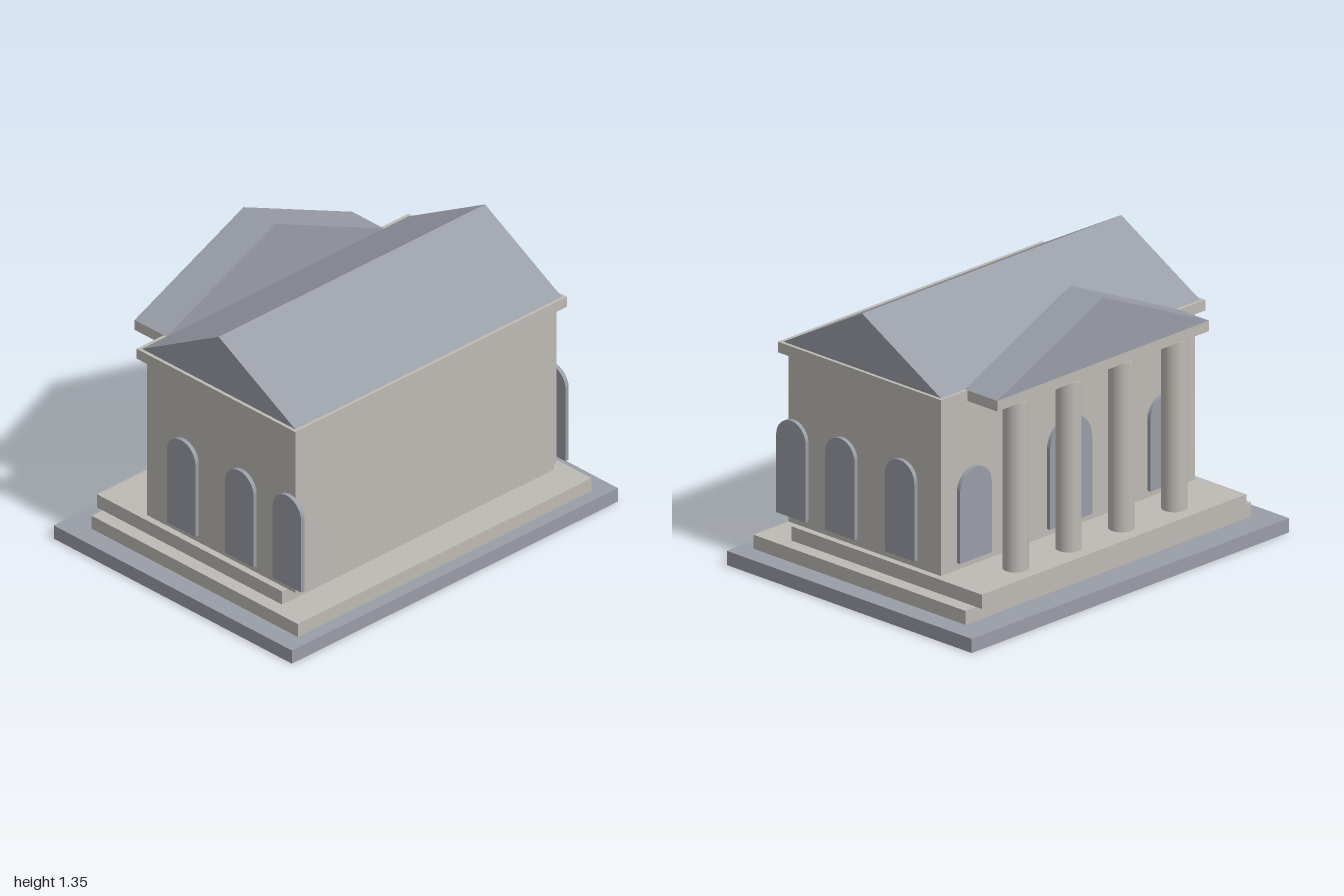
import * as THREE from 'three';

export function createModel() {
  const model = new THREE.Group();
  const stone = new THREE.MeshStandardMaterial({ name: 'stone', color: 0xbdbab4 });
  const slate = new THREE.MeshStandardMaterial({ name: 'slate', color: 0x999da6 });

  const add = (name, geometry, material, parent = model) => {
    const mesh = new THREE.Mesh(geometry, material);
    mesh.name = name;
    parent.add(mesh);
    return mesh;
  };

  // Box centred on x, given its half width and its y and z ranges
  const slab = (name, halfX, y0, y1, z0, z1, material) => {
    const mesh = add(name, new THREE.BoxGeometry(halfX * 2, y1 - y0, z1 - z0), material);
    mesh.position.set(0, (y0 + y1) / 2, (z0 + z1) / 2);
  };

  // Triangular prism centred on its length, which runs along z
  const gable = (name, halfWidth, height, length) => {
    const shape = new THREE.Shape();
    shape.moveTo(-halfWidth, 0);
    shape.lineTo(halfWidth, 0);
    shape.lineTo(0, height);
    shape.closePath();
    const geometry = new THREE.ExtrudeGeometry(shape, { depth: length, bevelEnabled: false });
    geometry.translate(0, 0, -length / 2);
    return add(name, geometry, slate);
  };

  // Round-headed panel, sill at y = 0, projecting towards +z
  const arch = (name, radius, height, x, z, turn) => {
    const shape = new THREE.Shape();
    shape.moveTo(-radius, 0);
    shape.lineTo(radius, 0);
    shape.lineTo(radius, height - radius);
    shape.absarc(0, height - radius, radius, 0, Math.PI, false);
    shape.closePath();
    const geometry = new THREE.ExtrudeGeometry(shape, { depth: 0.02, bevelEnabled: false, curveSegments: 24 });
    const mesh = add(name, geometry, slate);
    mesh.position.set(x, 0.234, z);
    mesh.rotation.y = turn;
  };

  // Base and steps
  slab('base', 1, 0, 0.067, -0.75, 0.75, slate);
  slab('lowerStep', 0.9, 0.067, 0.133, -0.615, 0.685, stone);
  slab('upperStep', 0.833, 0.133, 0.2, -0.65, 0.517, stone);

  // Hall and its roof
  slab('walls', 0.8, 0.2, 1, -0.367, 0.567, stone);
  slab('cornice', 0.833, 1, 1.05, -0.4, 0.6, stone);
  const roof = gable('mainRoof', 0.483, 0.267, 1.633);
  roof.rotation.y = Math.PI / 2;
  roof.position.set(0, 1.05, 0.1);

  // Portico at the back
  slab('porticoBeam', 0.667, 1, 1.05, -0.583, -0.4, stone);
  const pediment = gable('pediment', 0.667, 0.3, 0.2);
  pediment.position.set(0, 1.05, -0.483);
  const columns = new THREE.Group();
  columns.name = 'columns';
  model.add(columns);
  for (let i = 0; i < 4; i++) {
    const column = add('column', new THREE.CylinderGeometry(0.058, 0.058, 0.8, 32), stone, columns);
    column.position.set(-0.5 + i / 3, 0.6, -0.533);
  }

  // Arched windows along both sides
  for (const side of [-1, 1]) {
    for (const z of [0.533, 0.233, -0.133]) {
      arch('sideWindow', 0.09, 0.457, side * 0.8, z, side * Math.PI / 2);
    }
    arch('porticoWindow', 0.1, 0.433, side * 0.6, -0.367, Math.PI);
  }
  arch('door', 0.133, 0.5, 0, -0.367, Math.PI);

  return model;
}
